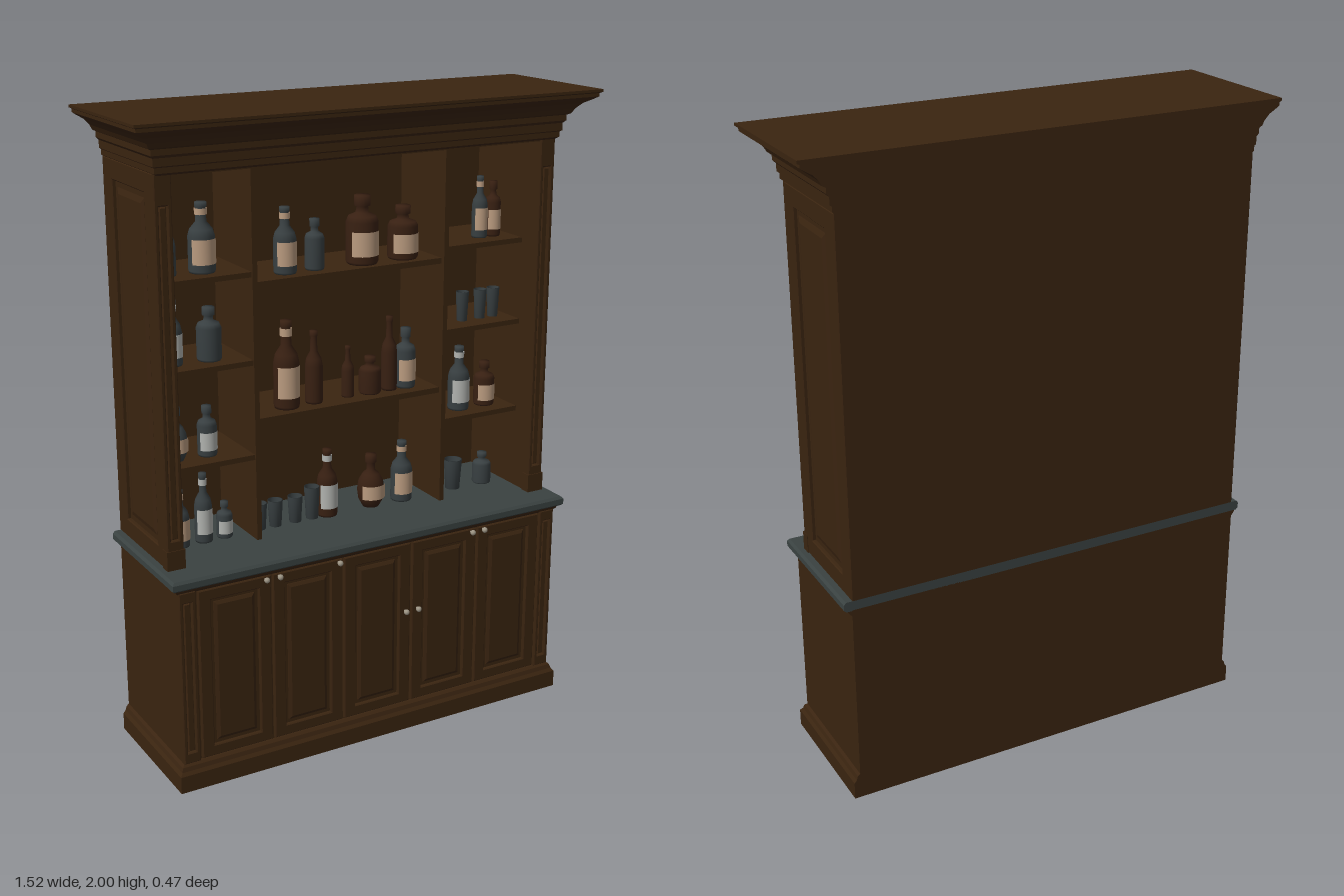
import * as THREE from 'three';

const mat = (name, color, side = THREE.FrontSide) => {
  const m = new THREE.MeshStandardMaterial({ color, side });
  m.name = name;
  return m;
};
const wood = mat('dark walnut', 0x3a2410);
const stone = mat('grey stone', 0x3a4241);
const greyGlass = mat('smoky glass', 0x383f41, THREE.DoubleSide);
const brownGlass = mat('amber glass', 0x382012, THREE.DoubleSide);
const beige = mat('beige label', 0xbb9c80, THREE.DoubleSide);
const white = mat('white label', 0xb2b4b0, THREE.DoubleSide);
const metal = mat('knob metal', 0x9c9484);
const lamp = mat('lamp white', 0xe4e6e6);

const BACK = -0.235;

function add(parent, name, geo, material, x = 0, y = 0, z = 0) {
  const m = new THREE.Mesh(geo, material);
  m.name = name;
  m.position.set(x, y, z);
  parent.add(m);
  return m;
}

// Box given by its limits
function block(parent, name, x0, x1, y0, y1, z0, z1, material = wood) {
  return add(parent, name, new THREE.BoxGeometry(x1 - x0, y1 - y0, z1 - z0), material,
    (x0 + x1) / 2, (y0 + y1) / 2, (z0 + z1) / 2);
}

// Moulding running round front and sides, flush at the back; profile is [overhang, y] from the bottom up
function moulding(profile, halfX, front) {
  const rings = profile.map(([o, y]) => {
    const x = halfX + o, z = front + o;
    return [[x, y, z], [x, y, BACK], [-x, y, BACK], [-x, y, z]];
  });
  const pos = [];
  const quad = (a, b, c, d) => pos.push(...a, ...b, ...c, ...a, ...c, ...d);
  for (let i = 0; i < rings.length - 1; i++) {
    for (let k = 0; k < 4; k++) {
      const n = (k + 1) % 4;
      quad(rings[i][k], rings[i][n], rings[i + 1][n], rings[i + 1][k]);
    }
  }
  quad(...rings[rings.length - 1]);
  quad(...[...rings[0]].reverse());
  const g = new THREE.BufferGeometry();
  g.setAttribute('position', new THREE.Float32BufferAttribute(pos, 3));
  g.computeVertexNormals();
  return g;
}

function rect(Type, w, h) {
  const p = new Type();
  p.moveTo(-w / 2, -h / 2);
  p.lineTo(w / 2, -h / 2);
  p.lineTo(w / 2, h / 2);
  p.lineTo(-w / 2, h / 2);
  p.closePath();
  return p;
}

// Framed panel with a raised field, facing +z, its back at z = 0
function panel(name, w, h, mx, my, gap) {
  const g = new THREE.Group();
  g.name = name;
  const hw = w - 2 * mx, hh = h - 2 * my;
  const bevel = 0.003;
  const frame = rect(THREE.Shape, w - 2 * bevel, h - 2 * bevel);
  frame.holes.push(rect(THREE.Path, hw + 2 * bevel, hh + 2 * bevel));
  const opts = { depth: 0.009, bevelEnabled: true, bevelThickness: bevel, bevelSize: bevel, bevelSegments: 1 };
  add(g, 'panelFrame', new THREE.ExtrudeGeometry(frame, opts), wood);
  const field = rect(THREE.Shape, hw - 2 * gap, hh - 2 * gap);
  add(g, 'raisedField', new THREE.ExtrudeGeometry(field,
    { ...opts, depth: 0.003, bevelThickness: 0.005, bevelSize: gap * 0.45 }), wood);
  return g;
}

// Bottle outlines as [radius fraction, height fraction]
const shapes = {
  tall: [[0, 0], [0.95, 0], [1, 0.03], [1, 0.52], [0.85, 0.62], [0.42, 0.72], [0.36, 0.92], [0.44, 0.93], [0.44, 1], [0, 1]],
  squat: [[0, 0], [0.92, 0], [1, 0.04], [1, 0.62], [0.85, 0.7], [0.4, 0.75], [0.36, 0.84], [0.5, 0.85], [0.5, 1], [0, 1]],
  round: [[0, 0], [0.6, 0], [0.9, 0.14], [1, 0.32], [0.9, 0.5], [0.6, 0.63], [0.3, 0.7], [0.3, 0.84], [0.42, 0.85], [0.4, 1], [0, 1]],
  cup: [[0, 0], [0.78, 0], [1, 1], [0.9, 1], [0.7, 0.1], [0, 0.1]],
};

function bottle(parent, kind, x, y, z, width, height, glass, label) {
  const g = new THREE.Group();
  g.name = kind === 'cup' ? 'tumbler' : 'bottle';
  g.position.set(x, y, z);
  const r = width / 2;
  // doubled points keep the outline's corners crisp
  const pts = shapes[kind].map(([a, b]) => new THREE.Vector2(a * r, b * height));
  add(g, 'glass', new THREE.LatheGeometry(pts, 18), glass);
  if (label) {
    const lh = height * (kind === 'round' ? 0.26 : 0.36);
    add(g, 'label', new THREE.CylinderGeometry(r * 1.04, r * 1.04, lh, 14, 1, true, -1.15, 2.3), label, 0, height * 0.31, 0);
    if (kind === 'tall') add(g, 'neckBand', new THREE.CylinderGeometry(r * 0.47, r * 0.47, height * 0.09, 12, 1, true), label, 0, height * 0.87, 0);
  }
  parent.add(g);
}

export function createModel() {
  const root = new THREE.Group();
  root.name = 'barCabinet';

  // Lower cabinet
  const base = new THREE.Group();
  base.name = 'lowerCabinet';
  root.add(base);
  add(base, 'plinth', moulding([[0.02, 0], [0.02, 0.055], [0.012, 0.065], [0.008, 0.078], [0, 0.085]], 0.67, 0.197), wood);
  block(base, 'carcass', -0.67, 0.67, 0.08, 0.66, BACK, 0.19);
  add(base, 'counterMoulding', moulding([[0, 0.64], [0.008, 0.648], [0.012, 0.658]], 0.67, 0.195), wood);
  add(base, 'countertop', moulding([[0.018, 0.658], [0.025, 0.664], [0.025, 0.682], [0.018, 0.69]], 0.67, 0.195), stone);
  for (let i = -2; i <= 2; i++) {
    const door = panel('door', 0.238, 0.55, 0.04, 0.035, 0.022);
    door.position.set(i * 0.245, 0.365, 0.19);
    base.add(door);
  }
  for (const s of [-1, 1]) {
    const post = panel('cornerPost', 0.054, 0.56, 0.013, 0.035, 0.006);
    post.position.set(s * 0.643, 0.365, 0.19);
    base.add(post);
  }
  for (const [x, y] of [[-0.39, 0.632], [-0.345, 0.632], [-0.14, 0.632], [0.1, 0.412], [0.145, 0.412], [0.345, 0.632], [0.39, 0.632]]) {
    add(base, 'knobStem', new THREE.CylinderGeometry(0.004, 0.004, 0.016, 8), metal, x, y, 0.207).rotation.x = Math.PI / 2;
    add(base, 'knob', new THREE.SphereGeometry(0.009, 12, 8), metal, x, y, 0.214);
  }

  // Upper cabinet shell
  const upper = new THREE.Group();
  upper.name = 'upperCabinet';
  root.add(upper);
  block(upper, 'backBoard', -0.655, 0.655, 0.69, 1.86, BACK, -0.205);
  block(upper, 'ceiling', -0.655, 0.655, 1.84, 1.87, BACK, 0.125);
  for (const s of [-1, 1]) {
    block(upper, 'sideWall', s * 0.638 - 0.02, s * 0.638 + 0.02, 0.69, 1.86, BACK, 0.118);
    const side = panel('sidePanel', 0.362, 1.16, 0.065, 0.06, 0.036);
    side.position.set(s * 0.658, 1.27, -0.054);
    side.rotation.y = s * Math.PI / 2;
    upper.add(side);
    const pilaster = panel('pilaster', 0.053, 1.16, 0.013, 0.09, 0.006);
    pilaster.position.set(s * 0.643, 1.27, 0.118);
    upper.add(pilaster);
    block(upper, 'pilasterFoot', s * 0.643 - 0.029, s * 0.643 + 0.029, 0.69, 0.75, 0.1, 0.133);
    block(upper, 'divider', s * 0.33 - 0.008, s * 0.33 + 0.008, 0.69, 1.845, -0.21, 0.05);
    for (const y of [1.518, 1.252, 0.957]) {
      block(upper, 'sideShelf', s * 0.478 - 0.142, s * 0.478 + 0.142, y - 0.008, y + 0.008, -0.21, 0.045);
    }
  }
  for (const y of [1.482, 1.063]) block(upper, 'centreShelf', -0.325, 0.325, y - 0.009, y + 0.009, -0.21, 0.035);

  // Crown cornice
  add(upper, 'cornice', moulding([
    [0, 1.845], [0.01, 1.852], [0.01, 1.868], [0.016, 1.872], [0.016, 1.895], [0.024, 1.903], [0.024, 1.92],
    [0.034, 1.925], [0.042, 1.94], [0.058, 1.957], [0.08, 1.97], [0.092, 1.978], [0.092, 1.988], [0.1, 1.992], [0.1, 2],
  ], 0.662, 0.135), wood);

  // Downlights
  for (const x of [-0.485, -0.025, 0.11, 0.475, 0.54]) {
    add(upper, 'downlight', new THREE.CylinderGeometry(0.017, 0.014, 0.018, 14), lamp, x, 1.831, -0.03);
  }

  // Bottles and tumblers, shelf by shelf: [shape, x, width, top, glass, label]
  const A = brownGlass, G = greyGlass;
  const rows = [
    [1.526, [['tall', -0.56, 0.035, 1.69, G], ['tall', -0.46, 0.08, 1.73, G, beige],
      ['tall', 0.505, 0.05, 1.72, G, beige], ['squat', 0.555, 0.05, 1.7, A, beige]]],
    [1.26, [['tall', -0.56, 0.055, 1.455, G, white], ['squat', -0.445, 0.075, 1.42, G],
      ['cup', 0.447, 0.042, 1.355, G], ['cup', 0.515, 0.042, 1.355, G], ['cup', 0.565, 0.042, 1.355, G]]],
    [0.965, [['round', -0.56, 0.068, 1.13, G, beige], ['squat', -0.46, 0.06, 1.12, G, white],
      ['tall', 0.44, 0.07, 1.175, G, white], ['squat', 0.54, 0.068, 1.11, A, beige]]],
    [0.69, [['tall', -0.56, 0.062, 0.87, G, beige], ['tall', -0.48, 0.055, 0.91, G, white], ['squat', -0.41, 0.05, 0.805, G, white],
      ['cup', -0.29, 0.048, 0.775, G], ['cup', -0.235, 0.048, 0.775, G], ['cup', -0.165, 0.048, 0.775, G],
      ['cup', -0.105, 0.05, 0.795, G], ['tall', -0.05, 0.065, 0.91, A, white], ['round', 0.11, 0.088, 0.865, A, beige],
      ['tall', 0.225, 0.07, 0.89, G, beige], ['cup', 0.425, 0.06, 0.79, G], ['squat', 0.54, 0.062, 0.795, G]]],
    [1.491, [['tall', -0.19, 0.07, 1.69, G, beige], ['squat', -0.09, 0.06, 1.645, G],
      ['squat', 0.075, 0.1, 1.7, A, beige], ['squat', 0.22, 0.095, 1.655, A, beige]]],
    [1.072, [['tall', -0.19, 0.08, 1.345, A, beige], ['tall', -0.095, 0.055, 1.3, A], ['tall', 0.025, 0.04, 1.235, A],
      ['squat', 0.105, 0.07, 1.19, A], ['tall', 0.175, 0.05, 1.31, A], ['squat', 0.235, 0.065, 1.265, G, beige]]],
  ];
  const stock = new THREE.Group();
  stock.name = 'bottlesAndTumblers';
  root.add(stock);
  for (const [y, items] of rows) {
    for (const [kind, x, w, top, glass, label] of items) bottle(stock, kind, x, y, -0.03, w, top - y, glass, label);
  }
  return root;
}
